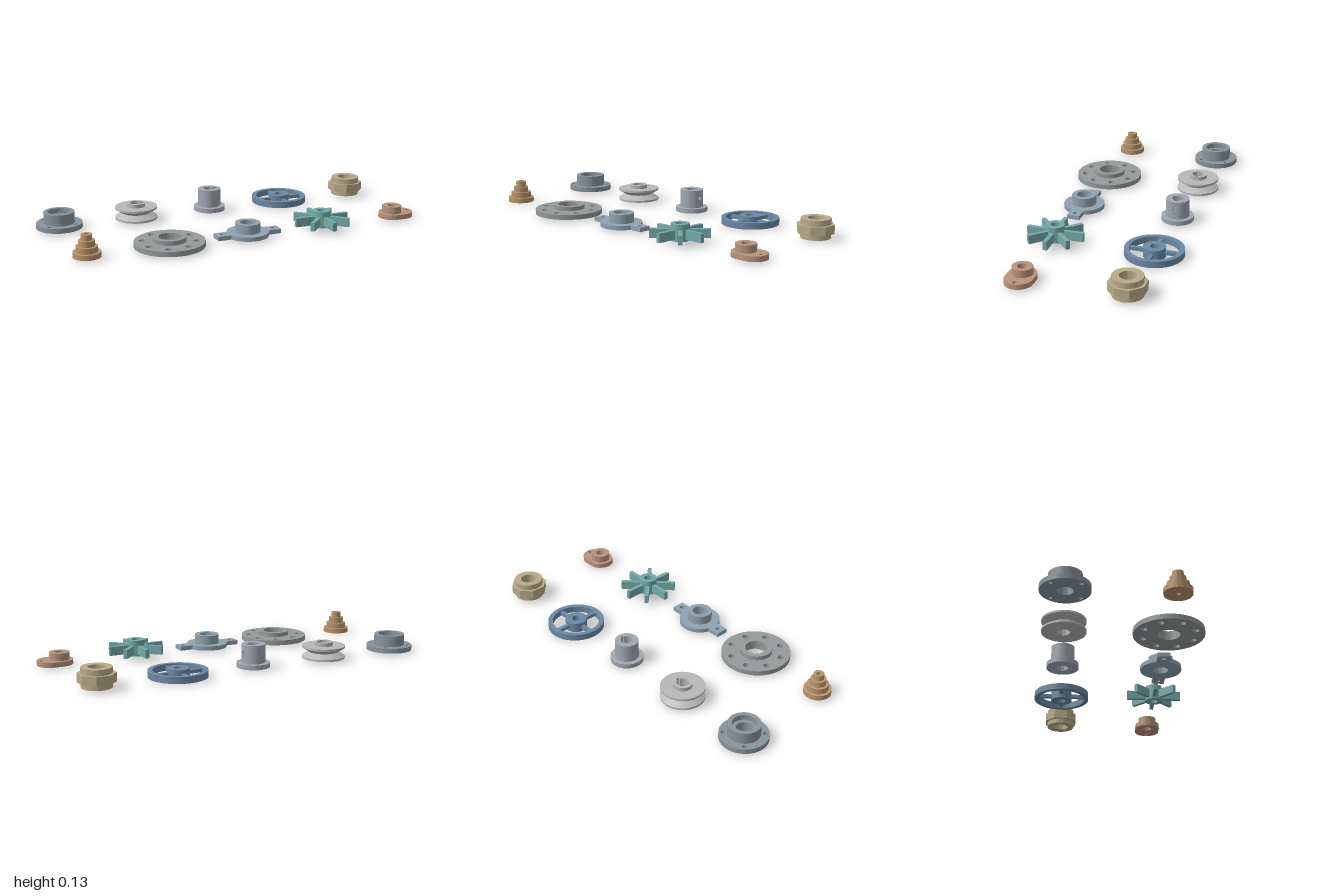
import * as THREE from 'three';
import { toCreasedNormals } from 'three/addons/utils/BufferGeometryUtils.js';

const TAU = Math.PI * 2;
const BACK = -0.286, FRONT = 0.25;

// ---- helpers ----
const circle = (r, x = 0, y = 0) => new THREE.Path().absarc(x, y, r, 0, TAU, false);

// Closed turned solid from [radius, height] points: up the outside, down the bore
function turned(points) {
  const pts = [...points, points[0]].map(([r, y]) => new THREE.Vector2(r, y));
  return new THREE.LatheGeometry(pts, 64);
}

const tube = (rOuter, rInner, y0, y1) =>
  turned([[rInner, y0], [rOuter, y0], [rOuter, y1], [rInner, y1]]);

// Flat outline with holes, raised from y0 to y1
function plate(outline, holes, y0, y1) {
  const shape = new THREE.Shape(outline.getPoints(48));
  shape.holes.push(...holes);
  return new THREE.ExtrudeGeometry(shape, { depth: y1 - y0, bevelEnabled: false, curveSegments: 32 })
    .rotateX(-Math.PI / 2).translate(0, y0, 0);
}

// Round bore with a rectangular key slot on +x
function keyedBore(r, depth, halfWidth) {
  const a = Math.asin(halfWidth / r);
  return new THREE.Path().absarc(0, 0, r, a, TAU - a, false)
    .lineTo(r + depth, -halfWidth).lineTo(r + depth, halfWidth).closePath();
}

const boltCircle = (n, r, holeR, start) => Array.from({ length: n }, (_, i) => {
  const a = start + (i * TAU) / n;
  return circle(holeR, r * Math.cos(a), r * Math.sin(a));
});

// Radial bars around the axis
const radialBars = (n, r0, r1, width, y0, y1) => Array.from({ length: n }, (_, i) =>
  new THREE.BoxGeometry(r1 - r0, y1 - y0, width)
    .translate((r0 + r1) / 2, (y0 + y1) / 2, 0).rotateY((i * TAU) / n));

// Sleeve wall segment with a round cross hole, bent about the axis
function bentPanel(rIn, rOut, angle, y0, y1, holeY, holeR) {
  const n = 12, pts = [];
  for (let i = 0; i <= n; i++) pts.push(new THREE.Vector2(angle * (2 * i / n - 1), y0));
  for (let i = n; i >= 0; i--) pts.push(new THREE.Vector2(angle * (2 * i / n - 1), y1));
  const shape = new THREE.Shape(pts);
  shape.holes.push(new THREE.Path().absellipse(0, holeY, holeR / rOut, holeR, 0, TAU, false, 0));
  const geo = new THREE.ExtrudeGeometry(shape, { depth: rOut - rIn, bevelEnabled: false });
  const p = geo.attributes.position;
  for (let i = 0; i < p.count; i++) {
    const a = p.getX(i), r = rIn + p.getZ(i);
    p.setXYZ(i, r * Math.cos(a), p.getY(i), -r * Math.sin(a));
  }
  return geo;
}

export function createModel() {
  const model = new THREE.Group();

  function part(name, color, x, z, pieces) {
    const group = new THREE.Group();
    group.name = name;
    group.position.set(x, 0, z);
    const material = new THREE.MeshStandardMaterial({ color });
    for (const [pieceName, geos] of Object.entries(pieces)) {
      for (const geo of [geos].flat()) {
        const mesh = new THREE.Mesh(toCreasedNormals(geo, 0.45), material);
        mesh.name = pieceName;
        group.add(mesh);
      }
    }
    model.add(group);
  }

  // ---- back row ----
  part('bearingHousing', 0x89949c, -0.875, BACK, {
    housingFlange: plate(circle(0.125), [circle(0.04), ...boltCircle(4, 0.103, 0.011, Math.PI / 4)], 0.01, 0.037),
    housingHub: turned([[0.04, 0.037], [0.083, 0.037], [0.083, 0.098], [0.06, 0.098], [0.06, 0.07], [0.04, 0.07]]),
  });

  part('pulley', 0xb8b8b8, -0.4375, BACK, {
    pulleyGroove: turned([[0.05, 0.01], [0.116, 0.01], [0.116, 0.021], [0.078, 0.044],
      [0.116, 0.067], [0.116, 0.078], [0.05, 0.078]]),
    pulleyHub: plate(circle(0.05), [keyedBore(0.033, 0.01, 0.009)], 0.01, 0.098),
  });

  // Sleeve: the wall is notched on +x to take the panel with the set screw hole
  const a = 0.4;
  const notched = new THREE.Path().absarc(0, 0, 0.063, a, TAU - a, false)
    .absarc(0, 0, 0.05, -a, a, false).closePath();
  part('flangedSleeve', 0xa1a8b0, 0, BACK, {
    sleeveFlange: plate(circle(0.088), [keyedBore(0.031, 0.01, 0.008)], 0.01, 0.035),
    sleeveWall: plate(notched, [keyedBore(0.031, 0.01, 0.008)], 0.035, 0.133),
    setScrewPanel: bentPanel(0.05, 0.063, a, 0.035, 0.133, 0.09, 0.01),
  });

  part('handwheel', 0x6c89a4, 0.4375, BACK, {
    wheelRim: tube(0.155, 0.13, 0.01, 0.045),
    wheelHub: tube(0.059, 0.023, 0, 0.055),
    wheelSpoke: radialBars(4, 0.045, 0.135, 0.022, 0.018, 0.037),
  });

  const octagon = new THREE.Path();
  octagon.setFromPoints(Array.from({ length: 8 }, (_, i) => {
    const t = (i + 0.5) * TAU / 8, r = 0.091 / Math.cos(TAU / 16);
    return new THREE.Vector2(r * Math.cos(t), r * Math.sin(t));
  })).closePath();
  part('unionNut', 0xb9ab8a, 0.877, BACK, {
    nutBody: tube(0.079, 0.043, 0.01, 0.113),
    nutFlats: plate(octagon, [circle(0.06)], 0.036, 0.083),
  });

  // ---- front row ----
  part('steppedCone', 0xb9956b, -0.875, FRONT, {
    coneSteps: turned([[0.013, 0.01], [0.072, 0.01], [0.072, 0.037], [0.056, 0.037], [0.056, 0.067],
      [0.041, 0.067], [0.041, 0.098], [0.028, 0.098], [0.028, 0.128], [0.013, 0.128]]),
  });

  part('pipeFlange', 0x959a9a, -0.4375, FRONT, {
    flangeDisc: plate(circle(0.185), [circle(0.058), ...boltCircle(8, 0.142, 0.017, Math.PI / 8)], 0.01, 0.037),
    flangeHub: tube(0.087, 0.058, 0.037, 0.06),
  });

  const b = Math.asin(0.034 / 0.112);
  const eared = new THREE.Path().moveTo(0.18, -0.034).lineTo(0.18, 0.034)
    .absarc(0, 0, 0.112, b, Math.PI - b, false).lineTo(-0.18, 0.034).lineTo(-0.18, -0.034)
    .absarc(0, 0, 0.112, Math.PI + b, TAU - b, false).closePath();
  part('twoBoltBearing', 0x8fa3b0, 0, FRONT, {
    bearingPlate: plate(eared, [circle(0.04), ...boltCircle(2, 0.146, 0.013, 0)], 0.01, 0.033),
    bearingHub: tube(0.067, 0.04, 0.033, 0.083),
  });

  part('impeller', 0x75a9aa, 0.4375, FRONT, {
    impellerHub: tube(0.049, 0.024, 0.01, 0.098),
    impellerBlade: radialBars(8, 0.042, 0.155, 0.022, 0.022, 0.07),
  });

  const stadium = new THREE.Path().absarc(0.05, 0, 0.072, -Math.PI / 2, Math.PI / 2, false)
    .absarc(0, 0, 0.072, Math.PI / 2, Math.PI * 1.5, false).closePath();
  part('cam', 0xb8947b, 0.878, FRONT, {
    camPlate: plate(stadium, [circle(0.025), circle(0.011, 0.099, 0)], 0.01, 0.037),
    camHub: tube(0.053, 0.025, 0.037, 0.076),
  });

  return model;
}
